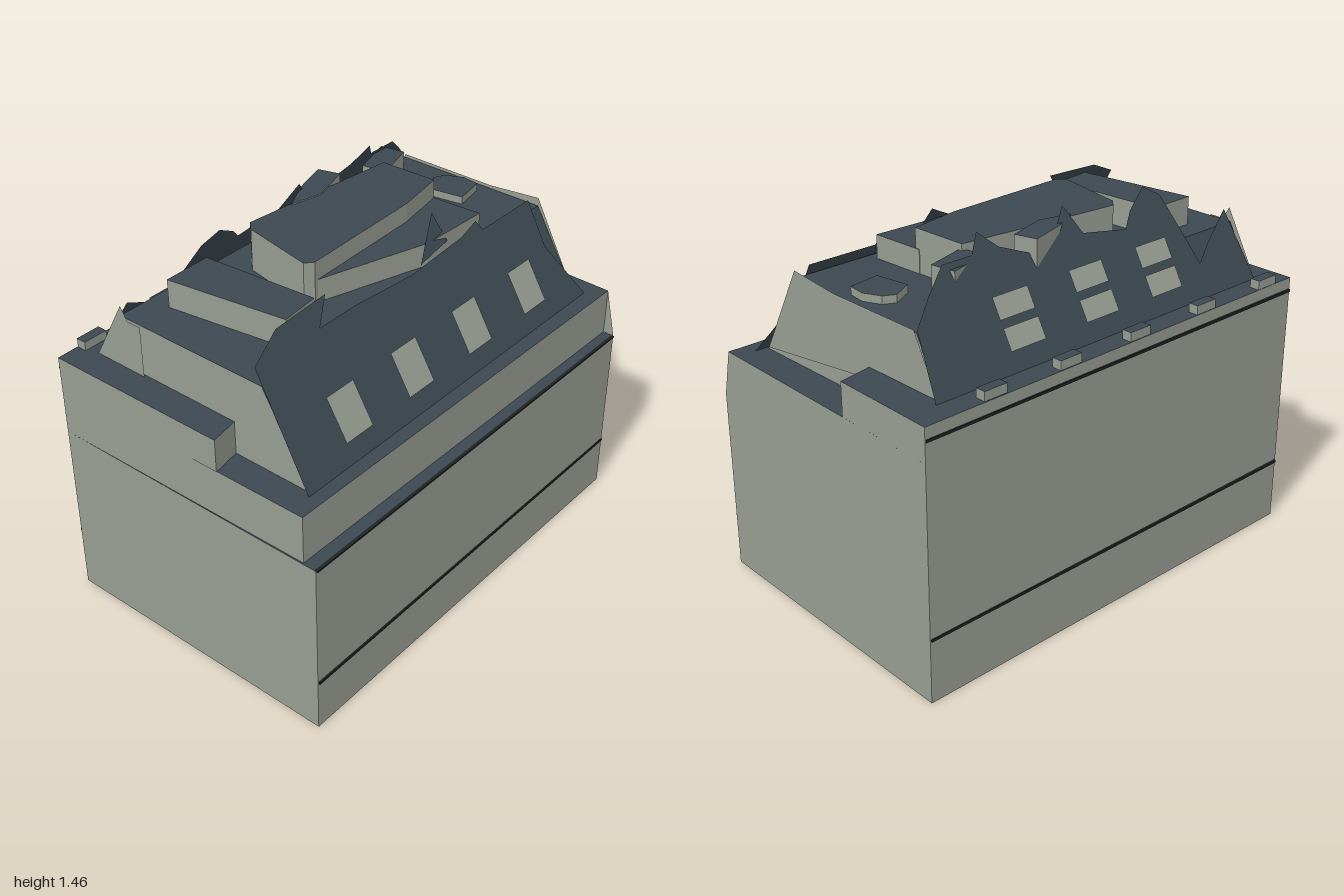
import * as THREE from 'three';

const mat = (name, color) => {
  const m = new THREE.MeshStandardMaterial({ color, side: THREE.DoubleSide });
  m.name = name;
  return m;
};

export function createModel() {
  const wall = mat('wallGrey', 0x979d92);
  const roof = mat('roofSlate', 0x3c4850);
  const dark = mat('bandDark', 0x1f2423);
  const group = new THREE.Group();
  group.name = 'building';

  const add = (name, geo, m) => {
    const mesh = new THREE.Mesh(geo, m);
    mesh.name = name;
    group.add(mesh);
  };
  // Building axes (u across, v along) to x, z
  const at = (u, v) => [0.986 * u - 0.167 * v, 0.167 * u + 0.986 * v];
  const shapeOf = (pts) => new THREE.Shape(pts.map((p) => new THREE.Vector2(p[0], p[1])));

  // Upright prism over a plan outline: slate caps, plaster sides
  const prism = (name, plan, y0, y1, m = [roof, wall]) => {
    const geo = new THREE.ExtrudeGeometry(shapeOf(plan.map(([x, z]) => [x, -z])),
      { depth: y1 - y0, bevelEnabled: false });
    geo.rotateX(-Math.PI / 2);
    geo.translate(0, y0, 0);
    add(name, geo, m);
  };
  const block = (name, u0, u1, v0, v1, y0, y1, m) =>
    prism(name, [at(u0, v0), at(u1, v0), at(u1, v1), at(u0, v1)], y0, y1, m);

  // Flat sheet drawn in two parameters and placed by a rule
  const sheet = (name, pts, place, m) => {
    const geo = new THREE.ShapeGeometry(shapeOf(pts));
    const p = geo.attributes.position;
    for (let i = 0; i < p.count; i++) p.setXYZ(i, ...place(p.getX(i), p.getY(i)));
    geo.computeVertexNormals();
    add(name, geo, m);
  };
  const rightU = (y) => 0.482 - (y - 0.91) / 1.66;
  const leftU = (y) => -0.5 + (y - 1.04) / 1.75;
  const onSlope = (uAt, lift) => (v, y) => {
    const [x, z] = at(uAt(y) + lift, v);
    return [x, y, z];
  };

  // Main walls, with the top stepped down on the right
  prism('lowerWalls', [[-0.43, -1], [0.73, -0.77], [0.43, 0.99], [-0.73, 0.8]], 0, 0.72);
  prism('upperWalls', [[-0.43, -1], [0.685, -0.78], [0.375, 0.975], [-0.73, 0.8]], 0.72, 0.91);
  prism('leftTerrace', [[-0.43, -1], [0, -0.915], [0.01, 0.92], [-0.73, 0.8]], 0.91, 1.04);
  sheet('backCornerTaper', [[0.685, 0.72], [0.73, 0.72], [0.685, 0.91]],
    (x, y) => [x, y, -0.78 + (x - 0.685) * 0.2], wall);

  // Thin bands along the long walls
  block('rightBand', 0.583, 0.595, -0.88, 0.9, 0.206, 0.216, dark);
  block('rightLedgeBand', 0.583, 0.595, -0.88, 0.9, 0.714, 0.721, dark);
  for (const y of [0.245, 0.985]) block('leftBand', -0.595, -0.583, -0.91, 0.905, y, y + 0.01, dark);

  // Mansard core: sloping slate sides, plaster ends, flat roof
  const ring = (y) => [[leftU(y) + 0.01, 0.79], [rightU(y) - 0.01, 0.79],
    [rightU(y) - 0.01, -0.76], [leftU(y) + 0.01, -0.76]].map(([u, v]) => {
    const [x, z] = at(u, v);
    return [x, y, z];
  });
  const low = ring(0.91), top = ring(1.24);
  const quads = [];
  const core = new THREE.BufferGeometry();
  const quad = (a, b, c, d, m) => {
    core.addGroup(quads.length / 3, 6, m);
    quads.push(...a, ...b, ...c, ...a, ...c, ...d);
  };
  for (let i = 0; i < 4; i++) {
    const j = (i + 1) % 4;
    quad(low[i], low[j], top[j], top[i], i % 2 ? 0 : 1);
  }
  quad(top[0], top[1], top[2], top[3], 0);
  core.setAttribute('position', new THREE.Float32BufferAttribute(quads, 3));
  core.computeVertexNormals();
  add('mansardCore', core, [roof, wall]);

  // Ragged slate slopes rising past the flat roof
  sheet('rightSlope', [[0.81, 0.91], [0.79, 1.3], [0.65, 1.36], [0.4, 1.37], [0.48, 1.295],
    [0.3, 1.295], [0, 1.28], [-0.3, 1.295], [-0.4, 1.315], [-0.42, 1.28], [-0.71, 1.28],
    [-0.7, 1.12], [-0.81, 0.91]], onSlope(rightU, 0), roof);
  sheet('leftSlope', [[0.8, 1.04], [0.77, 1.29], [0.62, 1.2], [0.55, 1.15], [0.52, 1.25],
    [0.47, 1.4], [0.4, 1.44], [0.3, 1.38], [0.25, 1.33], [0.05, 1.36], [0, 1.46], [-0.08, 1.38],
    [-0.2, 1.35], [-0.33, 1.4], [-0.4, 1.46], [-0.45, 1.4], [-0.58, 1.4], [-0.67, 1.33],
    [-0.76, 1.25], [-0.79, 1.04]], onSlope(leftU, 0), roof);

  // Roof windows
  const pane = (name, v, half, y0, y1, uAt, lift) => sheet(name,
    [[v - half, y0], [v + half, y0], [v + half, y1], [v - half, y1]], onSlope(uAt, lift), wall);
  for (const v of [-0.514, -0.169, 0.176, 0.512]) pane('rightWindow', v, 0.068, 0.975, 1.12, rightU, 0.006);
  for (const v of [-0.354, 0.003, 0.337]) {
    pane('leftWindowLower', v, 0.08, 1.105, 1.175, leftU, -0.006);
    pane('leftWindowUpper', v, 0.08, 1.2, 1.27, leftU, -0.006);
  }

  // Gable ends
  sheet('frontGableCheek', [[-0.5, 1.04], [-0.27, 1.04], [-0.27, 1.24], [-0.33, 1.24], [-0.36, 1.29]],
    (u, y) => { const [x, z] = at(u, 0.8); return [x, y, z]; }, wall);
  sheet('backGable', [[-0.48, 1.04], [0.46, 0.92], [0.27, 1.27], [0.05, 1.25], [-0.37, 1.25]],
    (u, y) => { const [x, z] = at(u, -0.765); return [x, y, z]; }, wall);

  // Raised blocks on the flat roof
  prism('frontRoofBlock', [[-0.39, 0.59], [0.09, 0.6], [0.1, 0.44], [-0.36, 0.4]], 1.24, 1.35);
  prism('penthouse', [[-0.13, -0.44], [0.1, -0.41], [0.1, -0.2], [0.03, 0.32], [0, 0.345],
    [-0.28, 0.24], [-0.31, 0.2], [-0.2, -0.2]], 1.24, 1.405);
  prism('penthouseWing', [[0.08, -0.415], [0.3, -0.39], [0.24, -0.1], [0.03, 0.31], [0.02, 0.2]], 1.24, 1.33);
  prism('chimneyBlock', [[-0.31, -0.26], [-0.22, -0.27], [-0.2, -0.1], [-0.25, 0.02], [-0.29, -0.1]], 1.24, 1.41);
  prism('backRoofBlock', [[-0.23, -0.6], [-0.13, -0.6], [-0.11, -0.42], [-0.21, -0.42]], 1.24, 1.38);
  prism('backTurret', [[0, -0.7], [0.07, -0.72], [0.14, -0.7], [0.14, -0.57], [0, -0.57], [-0.03, -0.66]], 1.24, 1.27);
  sheet('roofFin', [[-0.2, 1.395], [-0.2, 1.3], [0, 1.3]],
    (z, y) => [0.2 + (1.395 - y) * 0.7, y, z], roof);

  // Small blocks along the left eave
  for (const v of [-0.61, -0.27, 0.07, 0.42, 0.77]) block('eaveBlock', -0.585, -0.545, v - 0.05, v + 0.05, 1.04, 1.075);

  return group;
}
